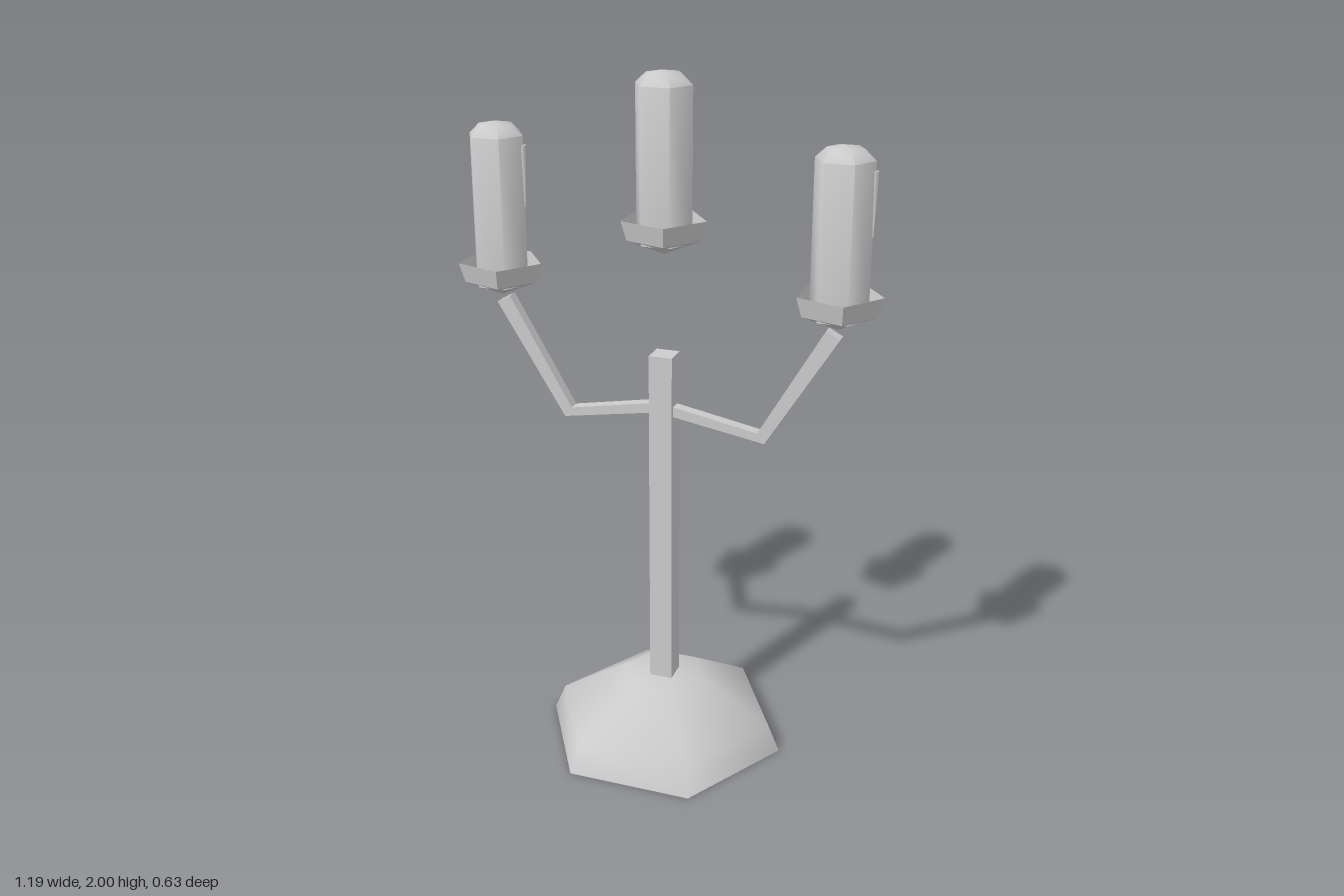
import * as THREE from 'three';
import { toCreasedNormals } from 'three/addons/utils/BufferGeometryUtils.js';

const CREASE = THREE.MathUtils.degToRad(62);
const CENTRE_X = -0.013;
const grey = new THREE.MeshStandardMaterial({ color: 0xcccccc });
const greyThin = new THREE.MeshStandardMaterial({ color: 0xcccccc, side: THREE.DoubleSide });

function add(parent, name, geometry, material = grey) {
  const mesh = new THREE.Mesh(geometry, material);
  mesh.name = name;
  parent.add(mesh);
  return mesh;
}

// Few-sided turned shape with a corner on +x; profile runs from bottom to top
function turned(profile, sides, crease = CREASE) {
  const points = profile.map(([r, y]) => new THREE.Vector2(r, y));
  return toCreasedNormals(new THREE.LatheGeometry(points, sides, Math.PI / 2), crease);
}

// Pentagonal drip cup with its candle; y = 0 is the tip of the cup
function makeCandle(name, x, y, withDrip) {
  const group = new THREE.Group();
  group.name = name;
  group.position.set(x, y, 0);

  // Open cup: shallow conical floor and flared wall
  add(group, 'dripCup', turned([[0, 0], [0.105, 0.045], [0.121, 0.1]], 5, 0.5), greyThin);

  // Hexagonal candle with a soft shoulder
  add(group, 'candle', turned([
    [0, 0.035], [0.08, 0.035], [0.08, 0.455], [0.05, 0.483], [0, 0.49],
  ], 6));

  // Thin run of wax down the +x corner
  if (withDrip) {
    const drip = add(group, 'waxDrip', new THREE.CylinderGeometry(0.009, 0.003, 0.17, 5));
    drip.position.set(0.08, 0.345, 0);
  }
  return group;
}

export function createModel() {
  const model = new THREE.Group();
  model.name = 'candelabra';

  const body = new THREE.Group();
  body.name = 'body';
  body.position.x = CENTRE_X;
  model.add(body);

  // Domed hexagonal foot
  add(body, 'foot', turned([
    [0, 0], [0.365, 0], [0.33, 0.082], [0.121, 0.205], [0, 0.205],
  ], 6));

  // Square post
  const post = add(body, 'post', new THREE.BoxGeometry(0.068, 1.05, 0.068));
  post.position.y = 0.7;

  // Bent arms, the second turned half way round the post
  const outline = [
    [0, 1.054], [0.3, 1.003], [0.5, 1.328], [0.461, 1.349], [0.279, 1.032], [0, 1.084],
  ].map(([x, y]) => new THREE.Vector2(x, y));
  const armGeometry = new THREE.ExtrudeGeometry(new THREE.Shape(outline), {
    depth: 0.034, bevelEnabled: false,
  });
  armGeometry.translate(0, 0, -0.011);
  add(body, 'leftArm', armGeometry);
  add(body, 'rightArm', armGeometry).rotation.y = Math.PI;

  // Floating middle candle and the two on the arms
  body.add(makeCandle('middleCandle', 0, 1.51, false));
  body.add(makeCandle('leftCandle', 0.487, 1.348, true));
  body.add(makeCandle('rightCandle', -0.487, 1.348, true));

  return model;
}
